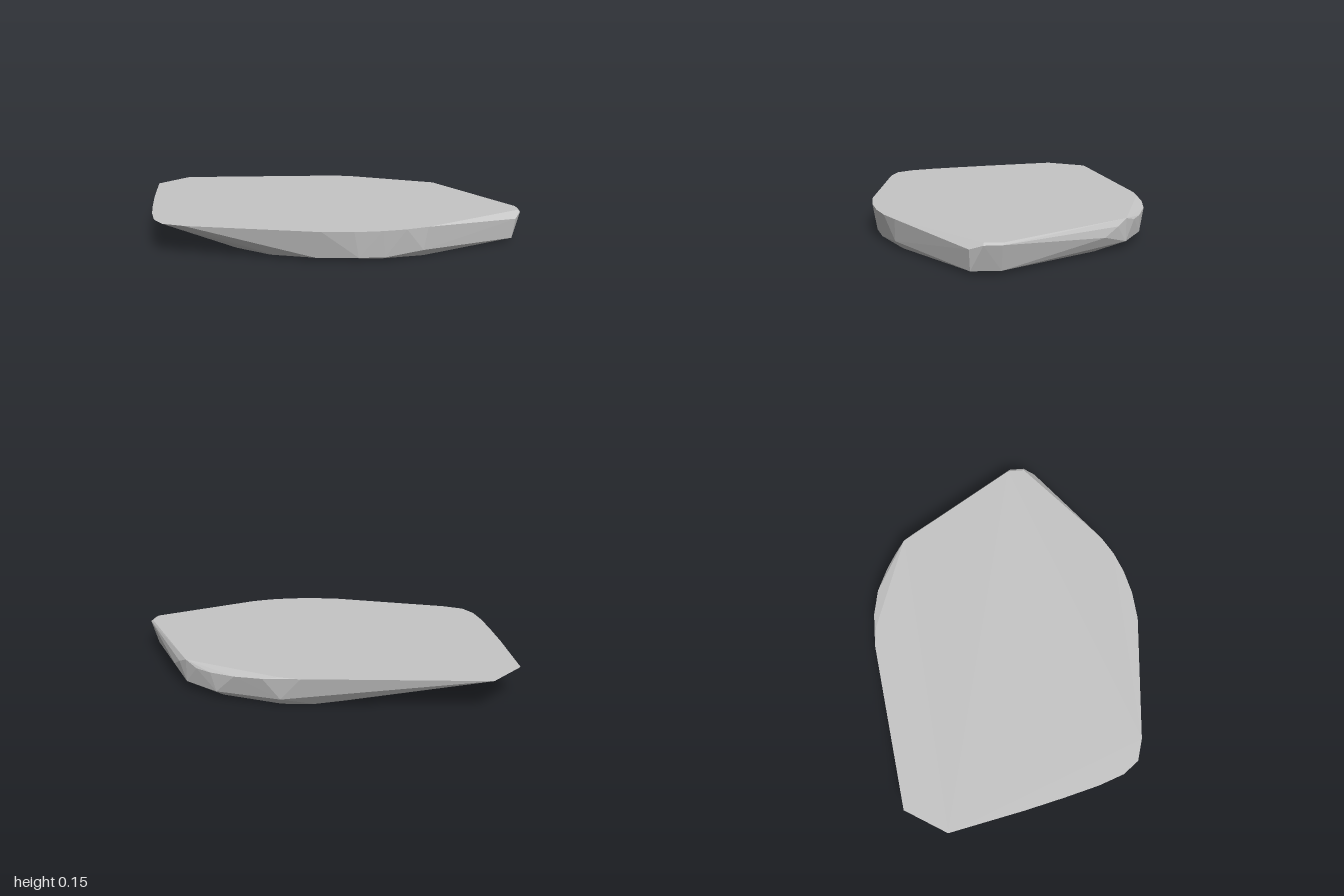
import * as THREE from 'three';
import { ConvexGeometry } from 'three/addons/geometries/ConvexGeometry.js';

export function createModel() {
  const stone = new THREE.MeshStandardMaterial({ color: 0xc5c5c5 });
  stone.name = 'light grey stone';

  // Flat top outline, as x, z pairs at one height
  const top = [
    [-1, -0.38], [-0.87, -0.59], [0, -0.7], [0.1, -0.692], [0.6, -0.52], [0.985, 0.09], [0.985, 0.18],
    [0.52, 0.565], [0.42, 0.62], [0.31, 0.66], [0.18, 0.688], [0.03, 0.697], [-0.62, 0.625],
    [-0.73, 0.59], [-0.79, 0.51], [-0.835, 0.38], [-0.88, 0.2], [-0.925, 0],
  ];

  // Chipped rim just under the top, as x, y, z
  const rim = [
    [0.18, 0.138, -0.7], [0.32, 0.132, -0.675], [0.45, 0.125, -0.62], [0.53, 0.125, -0.575],
    [0.65, 0.12, -0.47], [0.7, 0.08, -0.4], [1, 0.138, 0.1], [1, 0.138, 0.18], [0.97, 0.115, 0.24],
  ];

  // Lower edge of the sides
  const lower = [
    [0.6, 0.035, -0.52], [0.42, 0.035, -0.63], [0.1, 0.035, -0.685], [0.96, 0.015, 0.1],
    [0.955, 0.015, 0.235], [0.5, 0.035, 0.565], [0.32, 0.015, 0.635], [0.2, 0.02, 0.665],
    [0, 0.015, 0.66], [-0.2, 0.012, 0.61],
  ];

  // Smaller rounded underside, as x, z pairs on the ground
  const base = [
    [0.64, -0.36], [0.4, -0.58], [0.1, -0.65], [-0.05, -0.63], [-0.18, -0.57], [-0.31, -0.48],
    [-0.42, -0.36], [-0.49, -0.22], [-0.53, -0.05], [-0.53, 0.12], [-0.49, 0.3], [-0.4, 0.46],
    [-0.22, 0.57], [0.3, 0.6], [0.5, 0.53], [0.9, 0.22], [0.9, 0.1],
  ];

  const points = [
    ...top.map(([x, z]) => new THREE.Vector3(x, 0.147, z)),
    ...rim.map((p) => new THREE.Vector3(...p)),
    ...lower.map((p) => new THREE.Vector3(...p)),
    ...base.map(([x, z]) => new THREE.Vector3(x, 0, z)),
  ];

  const slab = new THREE.Mesh(new ConvexGeometry(points), stone);
  slab.name = 'stoneSlab';

  const model = new THREE.Group();
  model.name = 'flatRock';
  model.add(slab);
  return model;
}
